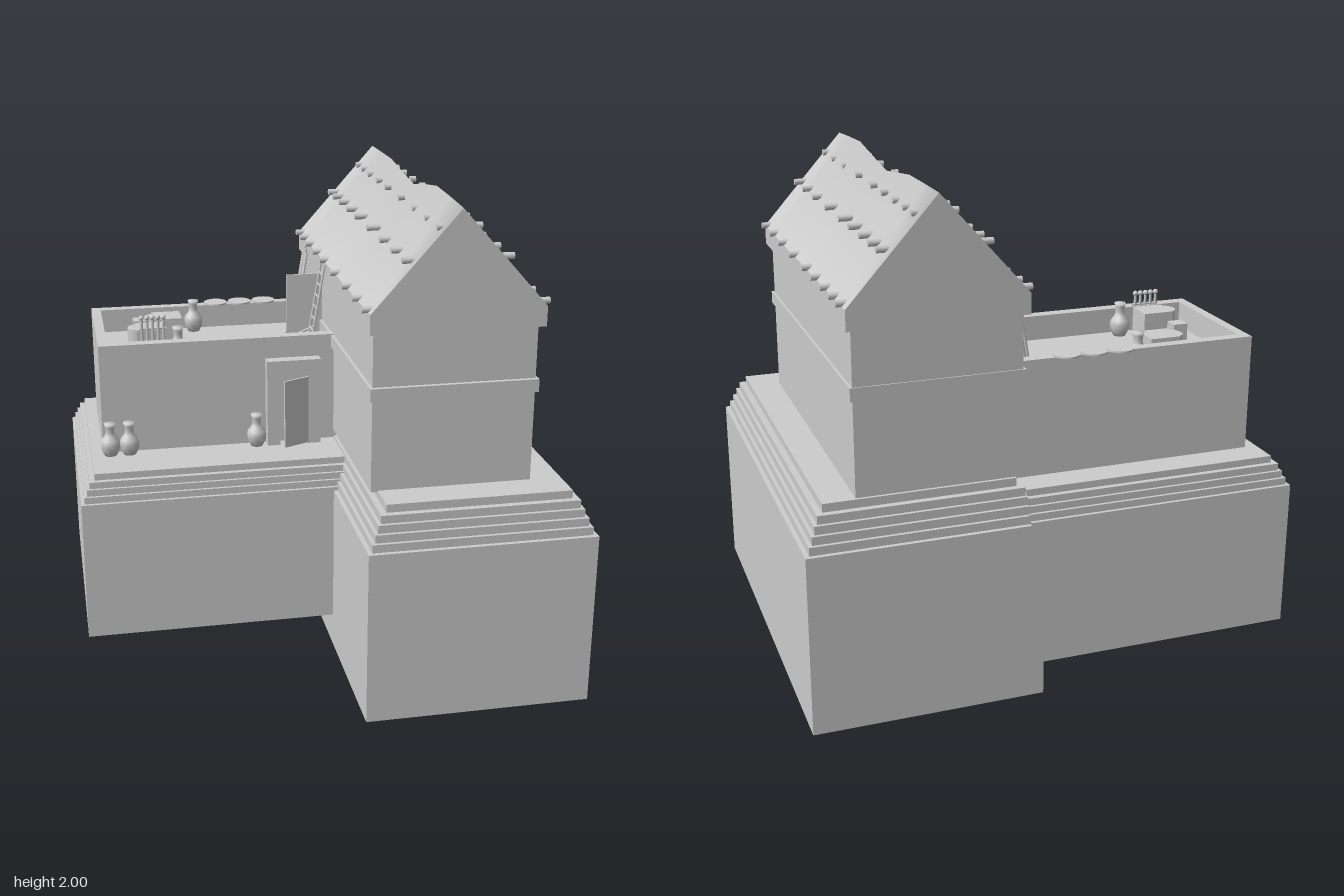
import * as THREE from 'three';

const grey = new THREE.MeshStandardMaterial({ color: 0xcccccc });
const flat = new THREE.MeshStandardMaterial({ color: 0xcccccc, flatShading: true, side: THREE.DoubleSide });
const thin = new THREE.MeshStandardMaterial({ color: 0xcccccc, side: THREE.DoubleSide });

export function createModel() {
  const model = new THREE.Group();

  const add = (name, geometry, material = grey) => {
    const mesh = new THREE.Mesh(geometry, material);
    mesh.name = name;
    model.add(mesh);
    return mesh;
  };
  // Box given by its limits on each axis
  const box = (name, x0, x1, y0, y1, z0, z1) => {
    const mesh = add(name, new THREE.BoxGeometry(x1 - x0, y1 - y0, z1 - z0));
    mesh.position.set((x0 + x1) / 2, (y0 + y1) / 2, (z0 + z1) / 2);
    return mesh;
  };
  // Round rod between two points
  const rod = (name, a, b, radius, sides = 8) => {
    const p = new THREE.Vector3(...a), q = new THREE.Vector3(...b);
    const mesh = add(name, new THREE.CylinderGeometry(radius, radius, p.distanceTo(q), sides));
    mesh.position.copy(p).add(q).multiplyScalar(0.5);
    mesh.quaternion.setFromUnitVectors(new THREE.Vector3(0, 1, 0), q.sub(p).normalize());
    return mesh;
  };

  // Hollow plinth: nested shells open below, each set in and raised by one step
  const plinth = (name, x0, x1, z0, z1, yBase, yWall, rise, insets, openX = false) => {
    const pos = [], index = [];
    const ring = (d, y) => {
      const r = openX ? x1 : x1 - d;
      pos.push(x0 + d, y, z1 - d, r, y, z1 - d, r, y, z0 + d, x0 + d, y, z0 + d);
    };
    insets.forEach((d, i) => {
      const start = pos.length / 3, last = i === insets.length - 1;
      ring(d, yBase + rise * i);
      ring(d, yWall + rise * i);
      if (!last) ring(insets[i + 1], yWall + rise * i);
      for (let row = start; row < pos.length / 3 - 4; row += 4) {
        for (let k = 0; k < 4; k++) {
          if (openX && k === 1) continue;
          const a = row + k, b = row + ((k + 1) % 4);
          index.push(a, b, b + 4, a, b + 4, a + 4);
        }
      }
      if (last) index.push(start + 4, start + 5, start + 6, start + 4, start + 6, start + 7);
    });
    const g = new THREE.BufferGeometry();
    g.setAttribute('position', new THREE.Float32BufferAttribute(pos, 3));
    g.setIndex(index);
    g.computeVertexNormals();
    add(name, g, flat);
  };
  plinth('towerPlinth', 0.062, 0.978, -0.853, 0.855, 0, 0.72, 0.033, [0, 0.018, 0.032, 0.046, 0.06, 0.086]);
  plinth('annexPlinth', -0.98, 0.12, -0.86, 0.215, 0.14, 0.735, 0.0275, [0, 0.014, 0.026, 0.038, 0.06], true);

  // Tower walls and moulding
  box('towerWalls', 0.12, 0.765, 0.88, 1.53, -0.755, 0.63);
  box('towerBand', 0.108, 0.775, 1.255, 1.307, -0.76, 0.648);

  // Gabled roof with a sagging ridge, smooth over the top
  const ridge = [[-0.78, 1.985], [-0.6, 1.986], [-0.42, 1.985], [-0.24, 1.964], [-0.06, 1.942],
    [0.12, 1.974], [0.3, 2.0], [0.48, 1.994], [0.66, 1.985]];
  const zB = ridge[0][0], zF = ridge[8][0];
  const section = (y) => [[0.787, 1.52], [0.787, 1.6], [0.443, y], [0.1, 1.6], [0.1, 1.52]];
  const slopes = new THREE.PlaneGeometry(2, 8, 2, 8);
  const sp = slopes.attributes.position;
  for (let i = 0; i < sp.count; i++) {
    const [z, y] = ridge[Math.round(sp.getY(i) + 4)];
    sp.setXYZ(i, ...section(y)[Math.round(sp.getX(i) + 2)], z);
  }
  slopes.computeVertexNormals();
  add('roofSlopes', slopes, thin);
  box('roofEaves', 0.1, 0.787, 1.52, 1.6, zB, zF);
  for (const [z, y] of [ridge[0], ridge[8]]) {
    const shape = new THREE.Shape(section(y).map((p) => new THREE.Vector2(...p)).slice(1, 4));
    add('gable', new THREE.ShapeGeometry(shape), thin).position.z = z;
  }

  // Rows of pegs sticking out of both roof slopes
  for (const z of [0.615, 0.45, 0.265, 0.045, -0.18, -0.335, -0.49, -0.62, -0.725]) {
    for (const [y, d, half] of [[1.61, 0.345, 0.021], [1.79, 0.188, 0.028], [1.91, 0.074, 0.013]]) {
      for (const side of [-1, 1]) {
        const x = 0.443 + side * d;
        rod('roofPeg', [x - half, y, z], [x + half, y, z], 0.013, 10);
      }
    }
  }

  // Annex walls: a parapet around a sunken roof terrace
  const floorY = 1.21, wallY = 1.312;
  box('annexBody', -0.87, 0.14, 0.84, floorY, -0.68, -0.08);
  box('parapetBack', -0.87, 0.14, floorY, wallY, -0.68, -0.635);
  box('parapetFront', -0.87, 0.14, floorY, wallY, -0.13, -0.08);
  box('parapetSide', -0.87, -0.83, floorY, wallY, -0.635, -0.13);

  // Front doorway with its leaf ajar
  const frame = new THREE.Shape([[-0.175, 0.84], [-0.12, 0.84], [-0.12, 1.15], [0, 1.15], [0, 0.84],
    [0.055, 0.84], [0.055, 1.22], [-0.175, 1.22]].map(([x, y]) => new THREE.Vector2(x, y)));
  add('doorFrame', new THREE.ExtrudeGeometry(frame, { depth: 0.05, bevelEnabled: false })).position.z = -0.08;
  const leaf = box('doorLeaf', -0.06, 0.06, 0.85, 1.145, -0.004, 0.004);
  leaf.position.x = -0.055;
  leaf.position.z = -0.007;
  leaf.rotation.y = 0.42;

  // Jars on the plinth and on the terrace
  const jarProfile = [[0, 0], [0.026, 0], [0.038, 0.025], [0.042, 0.05], [0.037, 0.068], [0.022, 0.088],
    [0.018, 0.102], [0.02, 0.125], [0.025, 0.14], [0, 0.14]].map(([x, y]) => new THREE.Vector2(x, y));
  for (const [x, y, z] of [[-0.84, 0.845, -0.05], [-0.76, 0.845, -0.05], [-0.22, 0.845, -0.05],
    [-0.42, floorY, -0.59], [-0.53, floorY, -0.18]]) {
    add('jar', new THREE.LatheGeometry(jarProfile, 10)).position.set(x, y, z);
  }

  // Doorway from the tower to the terrace, its leaf standing open
  box('terraceDoorway', 0.105, 0.13, floorY, 1.515, -0.49, -0.33);
  box('terraceDoorLeaf', -0.04, 0.115, floorY, 1.515, -0.33, -0.322);
  add('terraceDoorKnob', new THREE.SphereGeometry(0.013, 12, 8)).position.set(-0.045, 1.25, -0.34);

  // Ladder leaning on the eaves
  for (const z of [-0.23, -0.155]) rod('ladderRail', [0.03, floorY, z], [0.095, 1.595, z], 0.005);
  for (let i = 1; i < 8; i++) {
    const x = 0.03 + 0.065 * (i / 8), y = floorY + 0.385 * (i / 8);
    rod('ladderRung', [x, y, -0.23], [x, y, -0.155], 0.004);
  }
  // Poles and tools leaning beside the doorway
  for (let i = 0; i < 5; i++) {
    rod('pole', [0.03 + 0.008 * (i % 2), floorY, -0.52 - 0.022 * i], [0.095, 1.55 + 0.02 * (i % 3), -0.56 - 0.015 * i], 0.006);
  }
  for (let i = 0; i < 4; i++) {
    const y = floorY + 0.02 * i, z = -0.31 + 0.018 * i;
    rod('tool', [0, y, z], [0.07, y + 0.03, z], 0.004);
  }

  // Flat discs drying on the back parapet
  for (const x of [-0.31, -0.2, -0.09]) {
    add('disc', new THREE.CylinderGeometry(0.052, 0.052, 0.007, 24)).position.set(x, wallY + 0.003, -0.664);
  }

  // Terrace furniture: two round-ended ovens and a small chest
  for (const [x0, x1, z0, z1, top] of [[-0.61, -0.485, -0.575, -0.455, 1.308], [-0.7, -0.575, -0.325, -0.21, 1.335]]) {
    box('oven', x0, x1, floorY, top, z0, z1);
    const end = add('ovenEnd', new THREE.CylinderGeometry(0.05, 0.05, top - floorY - 0.005, 20));
    end.position.set(x0 + 0.015, (floorY + top) / 2, (z0 + z1) / 2);
  }
  box('chest', -0.7, -0.64, floorY, 1.32, -0.46, -0.4);

  // Rack of pegs on the front oven
  rod('rackRail', [-0.69, 1.343, -0.2], [-0.575, 1.343, -0.2], 0.004);
  for (let i = 0; i < 5; i++) {
    const x = -0.68 + 0.023 * i;
    rod('rackPeg', [x, 1.27, -0.2], [x, 1.39, -0.2], 0.006);
    add('rackKnob', new THREE.SphereGeometry(0.011, 10, 8)).position.set(x, 1.39, -0.2);
  }
  return model;
}
